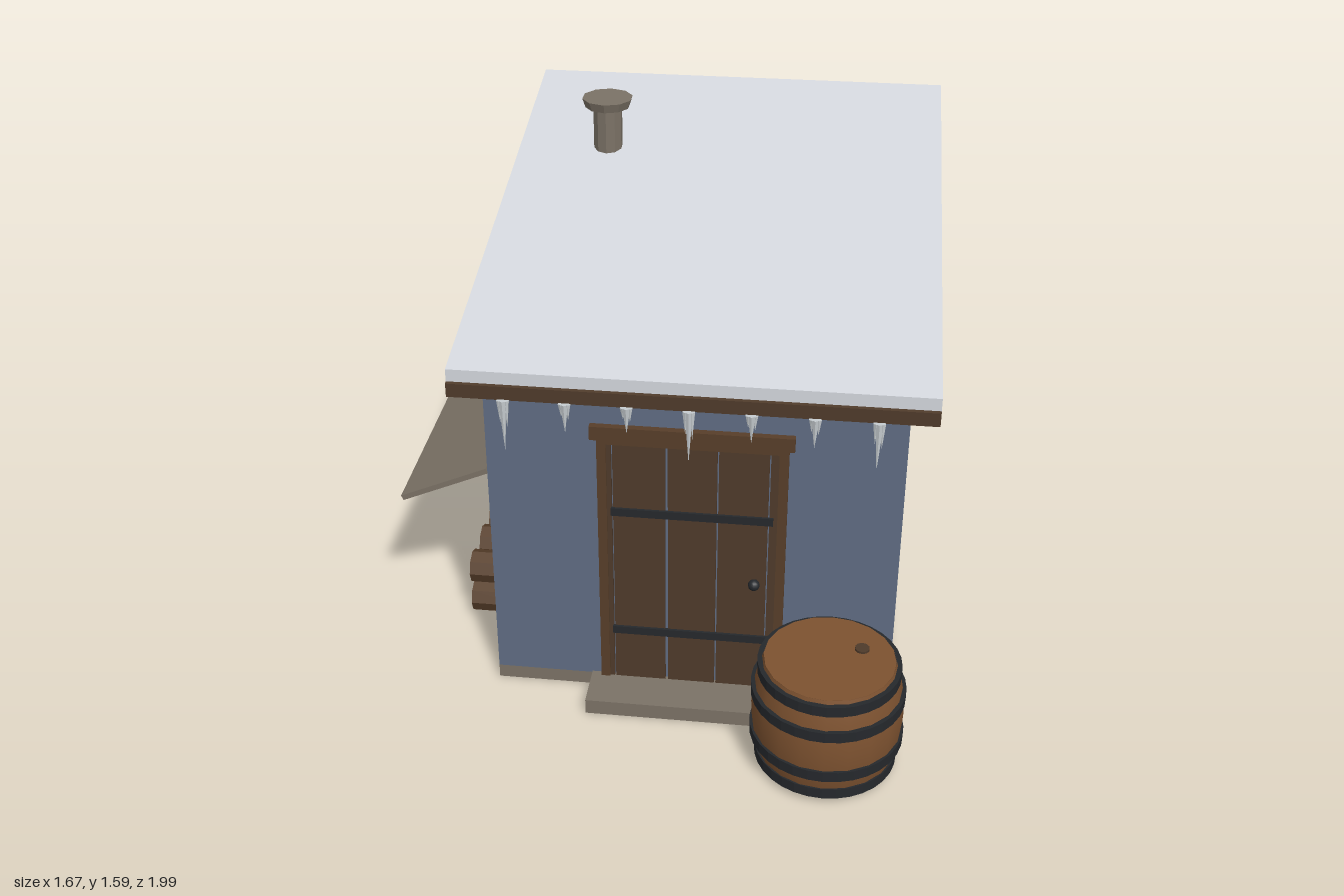
import * as THREE from 'three';

const mat = (name, color) => {
  const m = new THREE.MeshStandardMaterial({ color });
  m.name = name;
  return m;
};

export function createModel() {
  const root = new THREE.Group();
  root.name = 'shed';
  const blue = mat('wallBlue', 0x5f6c82);
  const stone = mat('weatheredBeige', 0x7b7266);
  const wood = mat('darkWood', 0x4e3a2a);
  const frameWood = mat('frameWood', 0x573e29);
  const barrelWood = mat('barrelWood', 0x7d5230);
  const iron = mat('iron', 0x25282c);
  const snow = mat('snow', 0xd3d7dd);
  const ice = mat('ice', 0xc6ccd0);
  [barrelWood, stone, wood].forEach((m) => { m.flatShading = false; });

  const add = (name, geo, material, parent = root) => {
    const m = new THREE.Mesh(geo, material);
    m.name = name;
    parent.add(m);
    return m;
  };
  // Box given by its lower and upper limits on each axis
  const box = (name, material, x0, x1, y0, y1, z0, z1, parent = root) => {
    const m = add(name, new THREE.BoxGeometry(x1 - x0, y1 - y0, z1 - z0), material, parent);
    m.position.set((x0 + x1) / 2, (y0 + y1) / 2, (z0 + z1) / 2);
    return m;
  };
  // Side profile of [z, y] points, extruded from x0 to x1
  const sideProfile = (name, material, pts, x0, x1) => {
    const shape = new THREE.Shape(pts.map(([z, y]) => new THREE.Vector2(z, y)));
    const geo = new THREE.ExtrudeGeometry(shape, { depth: x1 - x0, bevelEnabled: false });
    geo.rotateY(-Math.PI / 2).translate(x1, 0, 0);
    return add(name, geo, material);
  };
  const faceted = (geo) => {
    const g = geo.toNonIndexed();
    g.computeVertexNormals();
    return g;
  };

  // Base and hollow walls
  const L = -0.485, R = 0.755, B = -0.88, F = 0.52, T = 0.04, H = 1.09;
  box('base', stone, L, R, 0, 0.045, B, F);
  box('leftWall', blue, L, L + T, 0.045, H, B, F);
  box('rightWall', blue, R - T, R, 0.045, H, B, F);
  box('frontWall', blue, L + T, R - T, 0.045, H, F - T, F);
  box('backWall', blue, L + T, R - T, 0.045, H, B, B + T);

  // Gables and sloping roof
  const gable = [[F, H], [B, H], [B, 1.408]];
  sideProfile('leftGable', stone, gable, L, L + T);
  sideProfile('rightGable', stone, gable, R - T, R);
  sideProfile('roofBoard', wood, [[0.625, 1.09], [0.625, 1.133], [-0.985, 1.472], [-0.985, 1.428]], -0.565, 0.832);
  sideProfile('roofSnow', snow, [[0.615, 1.135], [0.615, 1.174], [-1, 1.514], [-1, 1.475]], -0.565, 0.832);

  // Chimney
  const chimney = new THREE.Group();
  chimney.name = 'chimney';
  chimney.position.set(-0.27, 0, -0.54);
  root.add(chimney);
  add('pipe', faceted(new THREE.CylinderGeometry(0.048, 0.048, 0.2, 10)), stone, chimney).position.y = 1.46;
  add('chimneyCap', faceted(new THREE.CylinderGeometry(0.084, 0.074, 0.03, 10)), stone, chimney).position.y = 1.571;

  // Door with planks, frame, straps and knob
  for (const [a, b] of [[-0.125, -0.108], [-0.104, 0.053], [0.061, 0.207], [0.212, 0.36], [0.364, 0.39]])
    box('doorPlank', wood, a, b, 0.045, 0.915, F, 0.532);
  box('doorPostRight', frameWood, -0.15, -0.122, 0, 0.925, F, 0.538);
  box('doorPostLeft', frameWood, 0.388, 0.416, 0, 0.925, F, 0.538);
  box('doorHead', frameWood, -0.122, 0.388, 0.91, 0.925, F, 0.538);
  box('lintel', frameWood, -0.17, 0.432, 0.925, 0.97, F, 0.542);
  for (const y of [0.237, 0.676]) box('doorStrap', iron, -0.11, 0.376, y - 0.013, y + 0.013, 0.53, 0.54);
  add('doorKnob', new THREE.SphereGeometry(0.018, 12, 8), iron).position.set(0.325, 0.45, 0.546);
  box('doorStep', stone, -0.182, 0.447, 0, 0.05, F, 0.665);

  // Timber bars on the +x wall
  for (const y of [0.422, 0.705]) box('sideRail', frameWood, R, 0.778, y - 0.012, y + 0.012, -0.412, -0.1);
  box('sidePost', frameWood, R, 0.776, 0.43, 0.695, -0.268, -0.245);

  // Horizontal battens on the back wall
  for (let i = 0; i < 5; i++) {
    const y = 0.127 + i * 0.2015;
    box('backBatten', wood, L - 0.004, R + 0.004, y - 0.009, y + 0.009, B - 0.013, B);
  }

  // Upright bars, awning and firewood on the -x wall
  for (const z of [-0.37, -0.17, 0.03]) box('wallBar', wood, -0.508, -0.498, 0.31, 1, z - 0.008, z + 0.008);
  const awning = add('awning', new THREE.BoxGeometry(0.31, 0.018, 0.935), stone);
  awning.position.set(-0.69, 0.562, -0.1875);
  awning.rotation.z = Math.atan2(0.122, 0.28);
  for (const y of [0.065, 0.182])
    for (let i = 0; i < 5; i++) {
      const log = add('log', faceted(new THREE.CylinderGeometry(0.055, 0.055, 0.175, 8)), frameWood);
      log.rotation.z = Math.PI / 2;
      log.position.set(-0.5525, y, -0.42 + i * 0.15);
    }

  // Icicles under the front eave: a long tip with two short ones beside it
  [0.165, 0.095, 0.085, 0.17, 0.09, 0.095, 0.155].forEach((len, i) => {
    for (const [dx, k, r] of [[0, 1, 0.013], [-0.01, 0.45, 0.009], [0.01, 0.55, 0.009]]) {
      const c = add('icicle', faceted(new THREE.ConeGeometry(r, len * k, 6)), ice);
      c.rotation.x = Math.PI;
      c.position.set(-0.4 + i * 0.1775 + dx, 1.092 - (len * k) / 2, 0.628);
    }
  });

  // Barrel with hoops and bung
  const barrel = new THREE.Group();
  barrel.name = 'barrel';
  barrel.position.set(0.567, 0, 0.765);
  root.add(barrel);
  const radius = (y) => 0.226 - 0.03 * ((y - 0.187) / 0.18) ** 2;
  const profile = [];
  for (let i = 0; i <= 10; i++) {
    const y = 0.005 + i * 0.0365;
    profile.push(new THREE.Vector2(radius(y), y));
  }
  add('barrelStaves', new THREE.LatheGeometry(profile, 20), barrelWood, barrel);
  for (const [y, h] of [[0.365, 0.01], [0.01, 0.01]])
    add('barrelLid', new THREE.CylinderGeometry(0.194, 0.194, h, 20), barrelWood, barrel).position.y = y;
  for (const y of [0.038, 0.116, 0.26, 0.342].map((v) => (v === 0.26 ? 0.262 : v))) {
    const r = radius(y) + 0.008, h = 0.017;
    const band = [[r - 0.02, -h], [r, -h], [r, h], [r - 0.02, h]].map(([a, b]) => new THREE.Vector2(a, b));
    add('barrelHoop', faceted(new THREE.LatheGeometry(band, 32)), iron, barrel).position.y = y;
  }
  add('bung', new THREE.CylinderGeometry(0.022, 0.022, 0.012, 10), wood, barrel).position.set(0.093, 0.371, -0.05);

  return root;
}
